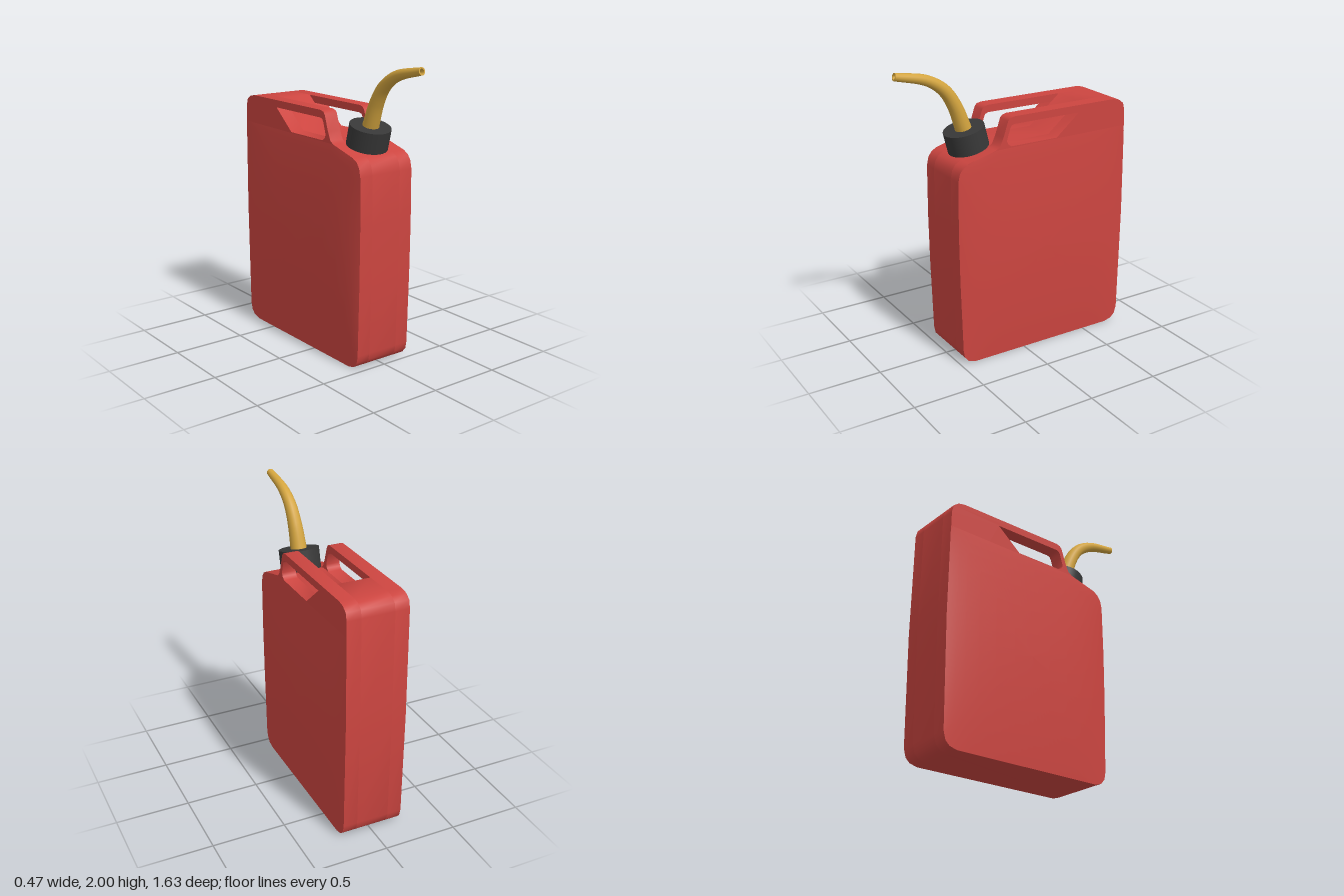
import * as THREE from 'three';
import { toCreasedNormals } from 'three/addons/utils/BufferGeometryUtils.js';

const HALF = 0.21; // half width at the edges
const INNER = 0.112; // half width of the handle channel

// Profiles are [z, y] pairs, counter-clockwise from the back bottom corner.
const LOWER = [
  [-0.80, 0.10], [-0.785, 0.045], [-0.755, 0.015], [-0.70, 0],
  [0.39, 0], [0.44, 0.015], [0.47, 0.05], [0.48, 0.10],
  [0.495, 0.60], [0.50, 0.95], [0.497, 1.30], [0.485, 1.355], [0.46, 1.39], [0.42, 1.412],
];
const BACK_TOP = [[-0.70, 1.67], [-0.75, 1.66], [-0.787, 1.632], [-0.80, 1.58], [-0.81, 0.85]];
const SIDE = [...LOWER, [0.22, 1.465], [0.19, 1.485], [0.165, 1.54], [0.13, 1.645], [0.115, 1.662], [0.085, 1.67], ...BACK_TOP];
const CENTRE = [...LOWER, [0.22, 1.465], [0.18, 1.475], [-0.245, 1.475], [-0.48, 1.67], ...BACK_TOP];
const PANEL = [...LOWER, [0.22, 1.465], [-0.803, 1.475], [-0.81, 0.85]];
const GRIP_HOLE = [[0.105, 1.475], [0.13, 1.492], [0.139, 1.515], [0.115, 1.595], [0.105, 1.612], [0.085, 1.62], [-0.42, 1.62], [-0.245, 1.475]];

const toPoints = (list) => list.map(([z, y]) => new THREE.Vector2(z, y));

// Extrudes a side profile across the width, from x0 to x1.
function slab(profile, x0, x1, hole) {
  const shape = new THREE.Shape(toPoints(profile));
  if (hole) shape.holes.push(new THREE.Path(toPoints(hole)));
  const g = new THREE.ExtrudeGeometry(shape, { depth: x1 - x0, bevelEnabled: false });
  g.rotateY(-Math.PI / 2).translate(x1, 0, 0);
  return toCreasedNormals(g, 0.85);
}

// Gently domed side panel, built from shrinking rings of the body outline.
function bulge(side) {
  const outline = new THREE.Path(toPoints([...PANEL, PANEL[0]])).getSpacedPoints(96);
  const n = outline.length;
  const rings = [1, 0.96, 0.9, 0.8, 0.65, 0.45, 0.22, 0];
  const cz = -0.155, cy = 0.74, positions = [], index = [];
  rings.forEach((s, k) => outline.forEach((p, i) => {
    const z = cz + (p.x - cz) * s, y = cy + (p.y - cy) * s;
    const u = (z - cz) / 0.655, v = (y - cy) / 0.74;
    const lift = k === 0 ? 0 : 0.026 * Math.max(0, 1 - v * v) * (1 - u ** 6);
    positions.push(side * (HALF + lift), y, z);
    if (k === 0 || i === 0) return;
    const a = (k - 1) * n + i - 1, b = a + 1, c = a + n, d = b + n;
    if (side > 0) index.push(b, a, c, b, c, d);
    else index.push(a, b, c, b, d, c);
  }));
  const g = new THREE.BufferGeometry();
  g.setAttribute('position', new THREE.Float32BufferAttribute(positions, 3));
  g.setIndex(index);
  g.computeVertexNormals();
  return g;
}

// Tube whose radius shrinks along its path.
function taperedTube(curve, r0, r1) {
  const steps = 24, sides = 14;
  const g = new THREE.TubeGeometry(curve, steps, 1, sides, false);
  const pos = g.attributes.position, v = new THREE.Vector3();
  for (let i = 0; i < pos.count; i++) {
    const t = Math.floor(i / (sides + 1)) / steps;
    const c = curve.getPointAt(t);
    v.fromBufferAttribute(pos, i).sub(c).multiplyScalar(r0 + (r1 - r0) * t).add(c);
    pos.setXYZ(i, v.x, v.y, v.z);
  }
  g.computeVertexNormals();
  // Keep the seam smooth with the tube's own normals
  const normal = g.attributes.normal;
  for (let i = 0; i < pos.count; i++) {
    v.fromBufferAttribute(pos, i).sub(curve.getPointAt(Math.floor(i / (sides + 1)) / steps)).normalize();
    normal.setXYZ(i, v.x, v.y, v.z);
  }
  return g;
}

export function createModel() {
  const red = new THREE.MeshStandardMaterial({ color: 0xcc4540 });
  red.name = 'red plastic';
  const black = new THREE.MeshStandardMaterial({ color: 0x383838 });
  black.name = 'black cap';
  const yellow = new THREE.MeshStandardMaterial({ color: 0xd4a53f, side: THREE.DoubleSide });
  yellow.name = 'yellow spout';

  const model = new THREE.Group();
  model.name = 'fuelCan';
  const add = (name, geometry, material) => {
    const mesh = new THREE.Mesh(geometry, material);
    mesh.name = name;
    model.add(mesh);
    return mesh;
  };

  // Body: a centre slab with the channel and two outer slabs with grips
  add('bodyCentre', slab(CENTRE, -INNER, INNER), red);
  for (const side of [1, -1]) {
    const label = side > 0 ? 'left' : 'right';
    const [x0, x1] = side > 0 ? [INNER, HALF] : [-HALF, -INNER];
    add(label + 'HandleSide', slab(SIDE, x0, x1, GRIP_HOLE), red);
    add(label + 'Panel', bulge(side), red);
  }

  // Tilted screw cap
  const cap = add('cap', new THREE.CylinderGeometry(0.137, 0.137, 0.14, 32), black);
  cap.position.set(0, 1.512, 0.318);
  cap.rotation.x = 0.255;

  // Curved hollow spout
  const path = new THREE.CatmullRomCurve3(
    [[0.325, 1.54], [0.342, 1.59], [0.395, 1.73], [0.47, 1.845], [0.587, 1.922], [0.81, 1.974]]
      .map(([z, y]) => new THREE.Vector3(0, y, z)));
  add('spout', taperedTube(path, 0.057, 0.025), yellow);
  add('spoutBore', taperedTube(path, 0.045, 0.016), yellow);
  const lip = add('spoutLip', new THREE.RingGeometry(0.016, 0.025, 14), yellow);
  lip.position.copy(path.getPointAt(1));
  lip.lookAt(path.getPointAt(1).add(path.getTangentAt(1)));

  return model;
}
